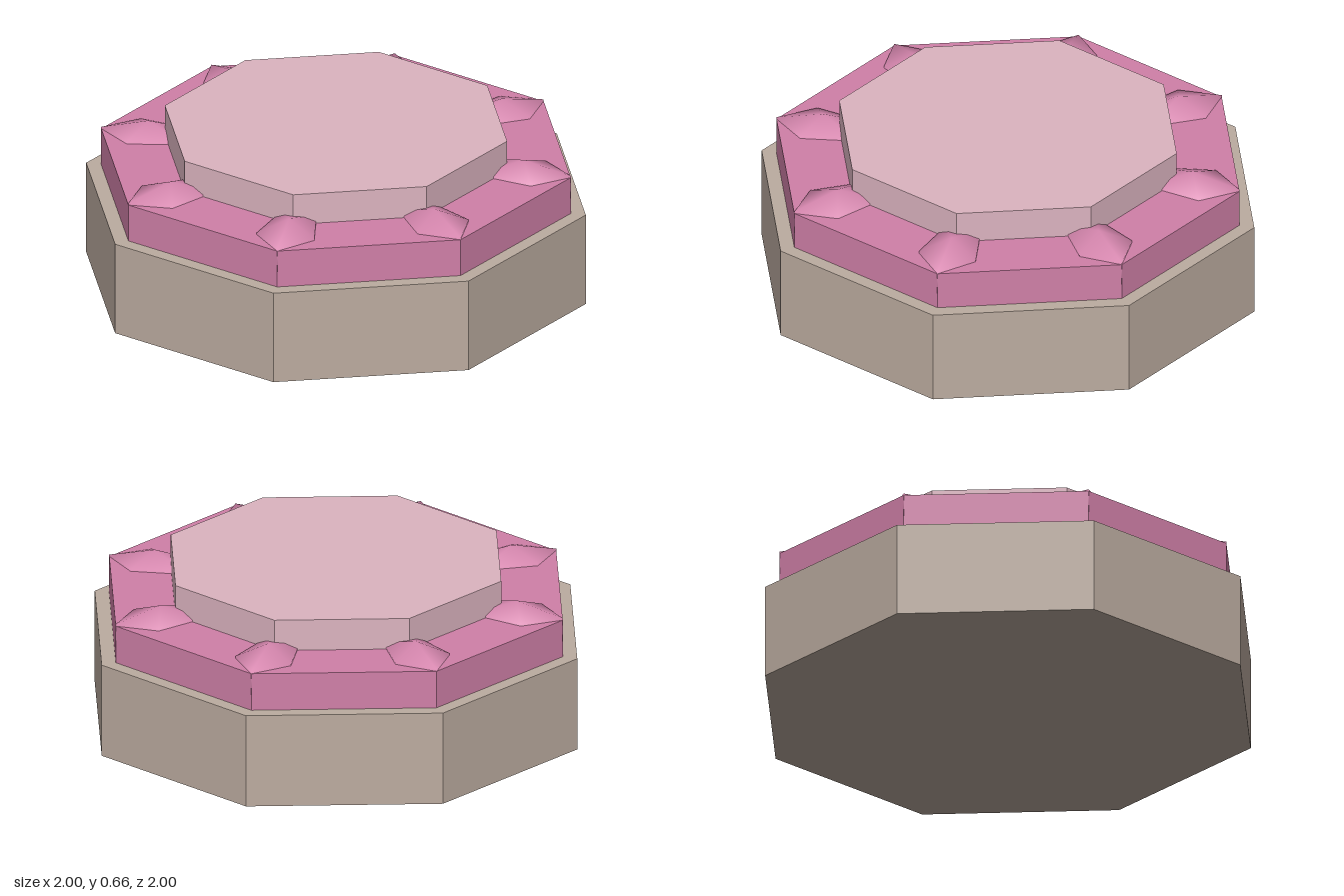
import * as THREE from 'three';

const material = (color, flatShading) => new THREE.MeshStandardMaterial({ color, flatShading });

export function createModel() {
  const model = new THREE.Group();
  model.name = 'octagonalPedestal';

  // Stacked octagonal tiers, corners on the axes
  const tiers = [
    ['base', 1, 0, 0.38, 0xbcaca0],
    ['middleTier', 0.94, 0.38, 0.533, 0xd080a8],
    ['topSlab', 0.685, 0.533, 0.66, 0xdcb4c0],
  ];
  for (const [name, radius, bottom, top, color] of tiers) {
    const tier = new THREE.Mesh(
      new THREE.CylinderGeometry(radius, radius, top - bottom, 8),
      material(color, true)
    );
    tier.name = name;
    tier.position.y = (bottom + top) / 2;
    model.add(tier);
  }

  // Five-sided smooth gems, one pointing out at each corner
  const gemGeometry = new THREE.SphereGeometry(1, 5, 3);
  gemGeometry.scale(0.22, 0.096, 0.14);
  gemGeometry.translate(-0.75, 0.492, 0);
  const gemMaterial = material(0xd888b0, false);
  const gems = new THREE.Group();
  gems.name = 'gems';
  for (let i = 0; i < 8; i++) {
    const gem = new THREE.Mesh(gemGeometry, gemMaterial);
    gem.name = 'gem' + (i + 1);
    gem.rotation.y = (i * Math.PI) / 4;
    gems.add(gem);
  }
  model.add(gems);

  return model;
}
